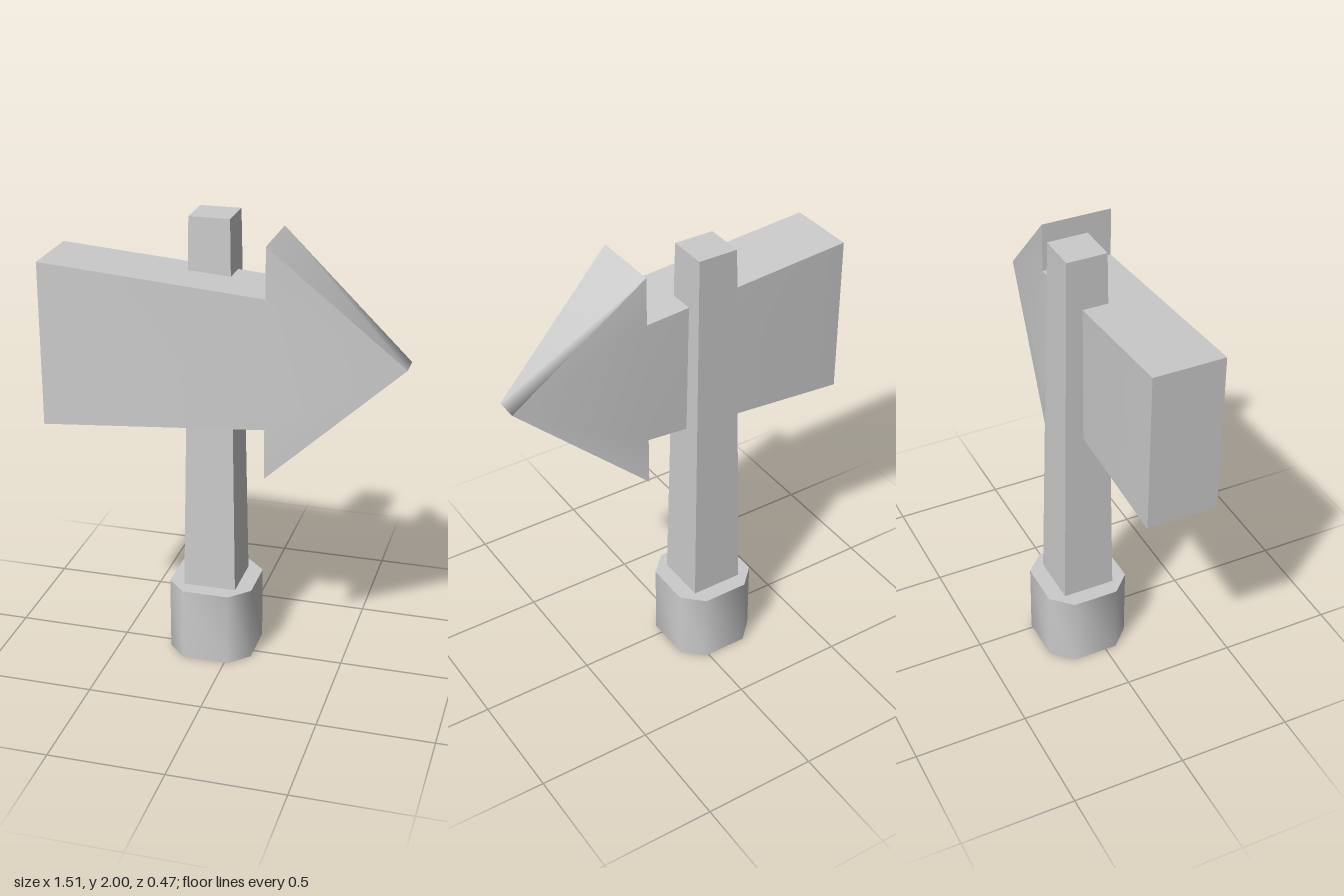
import * as THREE from 'three';
import { mergeGeometries, toCreasedNormals } from 'three/addons/utils/BufferGeometryUtils.js';

const grey = new THREE.MeshStandardMaterial({ color: 0xcccccc });

function part(name, geometry) {
  const mesh = new THREE.Mesh(geometry, grey);
  mesh.name = name;
  return mesh;
}

// Arrow outline, counter-clockwise seen from the front: [x, y, zFront, zBack]
const outline = [
  [-0.757, 1.82, 0.236, -0.072],
  [-0.757, 1.11, 0.236, -0.072],
  [0.2, 1.19, 0.236, -0.072],
  [0.2, 0.973, 0.236, -0.072],
  [0.757, 1.467, 0.132, 0.032], // thinned tip
  [0.2, 1.96, 0.236, -0.072],
  [0.2, 1.746, 0.236, -0.072],
];

function arrowGeometry() {
  const n = outline.length;
  const points = [
    ...outline.map(([x, y, zf]) => [x, y, zf]),
    ...outline.map(([x, y, , zb]) => [x, y, zb]),
  ].flat();

  // Triangles within one sheet share smooth normals; sheets meet at hard edges
  const sheet = (index) => {
    const g = new THREE.BufferGeometry();
    g.setAttribute('position', new THREE.Float32BufferAttribute(points, 3));
    g.setIndex(index);
    g.computeVertexNormals();
    return g.toNonIndexed();
  };
  const wall = (i) => {
    const j = (i + 1) % n;
    return [i, i + n, j + n, i, j + n, j];
  };

  const front = [0, 1, 2, 0, 2, 6, 6, 2, 4, 2, 3, 4, 6, 4, 5];
  const back = front.map((i) => i + n).reverse();
  return mergeGeometries([
    sheet(front),
    sheet(back),
    sheet([...wall(3), ...wall(4)]), // both slanted head edges, rounded over the tip
    ...[0, 1, 2, 5, 6].map((i) => sheet(wall(i))),
  ]);
}

// Square post tapering from its foot to its top
function postGeometry() {
  const y0 = 0.33, y1 = 2;
  const g = new THREE.BoxGeometry(1, y1 - y0, 1);
  const p = g.attributes.position;
  for (let i = 0; i < p.count; i++) {
    const top = p.getY(i) > 0;
    const width = top ? 0.174 : 0.232;
    p.setXYZ(i, p.getX(i) * width - 0.086, top ? y1 : y0, p.getZ(i) * width - 0.052);
  }
  g.computeVertexNormals();
  return g;
}

// Square block with chamfered upright corners, softly shaded around the sides
function baseGeometry() {
  const h = 0.186, c = 0.102;
  const shape = new THREE.Shape([
    [h, -c], [h, c], [c, h], [-c, h], [-h, c], [-h, -c], [-c, -h], [c, -h],
  ].map(([x, y]) => new THREE.Vector2(x, y)));
  const g = new THREE.ExtrudeGeometry(shape, { depth: 0.333, bevelEnabled: false });
  g.rotateX(-Math.PI / 2).translate(-0.086, 0, -0.052);
  return toCreasedNormals(g, Math.PI / 3);
}

export function createModel() {
  const group = new THREE.Group();
  group.name = 'arrowSignpost';
  group.add(
    part('base', baseGeometry()),
    part('post', postGeometry()),
    part('arrowBoard', arrowGeometry()),
  );
  return group;
}
